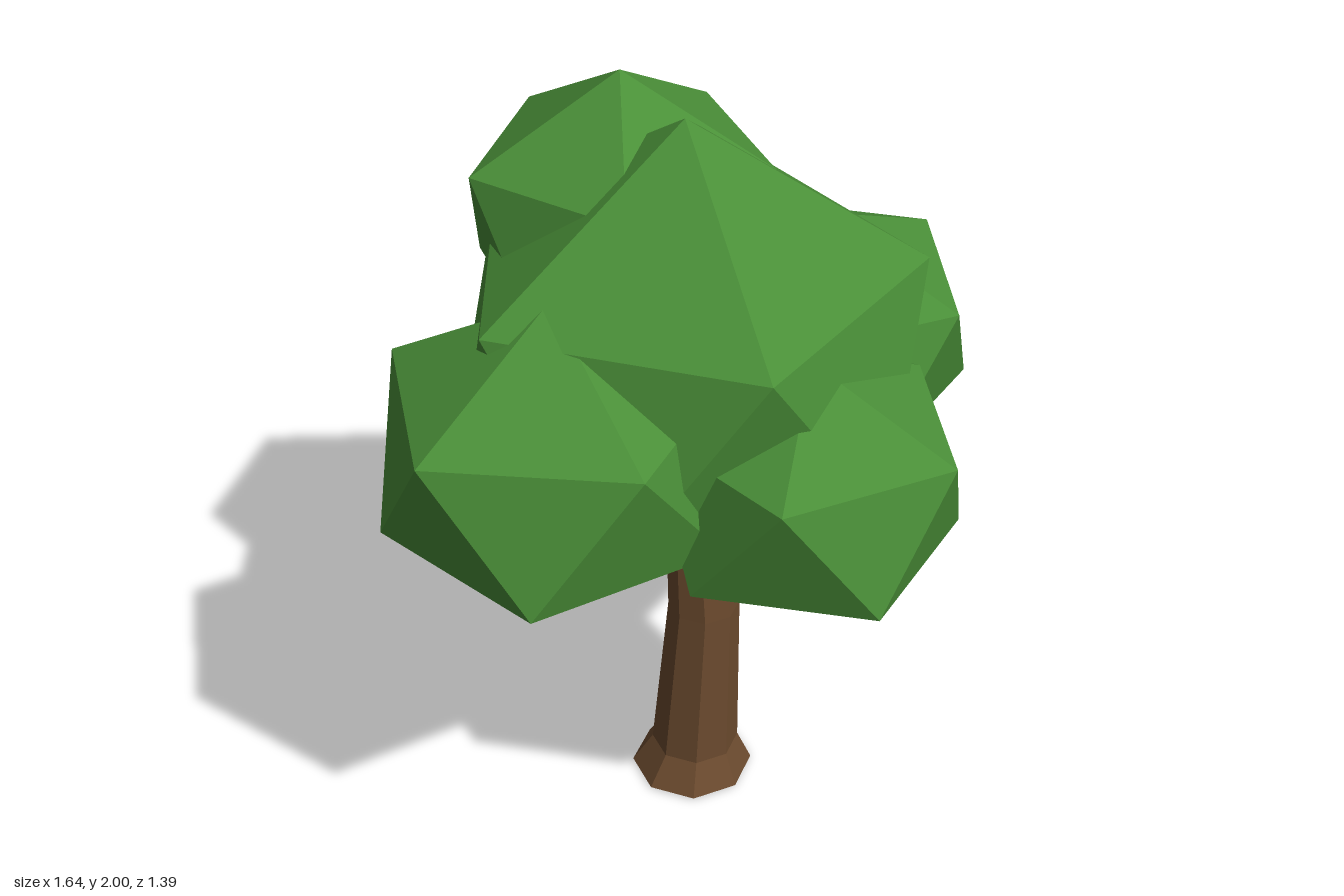
import * as THREE from 'three';
import { ConvexGeometry } from 'three/addons/geometries/ConvexGeometry.js';

const leaf = new THREE.MeshStandardMaterial({ color: 0x4a8f38, flatShading: true });
leaf.name = 'leafGreen';
const bark = new THREE.MeshStandardMaterial({ color: 0x6b4a2e, flatShading: true });
bark.name = 'barkBrown';

function part(name, geometry, material) {
  const mesh = new THREE.Mesh(geometry, material);
  mesh.name = name;
  return mesh;
}

// Squashed icosahedron: two poles and two staggered rings of five corners
function leafClump(x, z, radius, degrees, [bottom, lower, upper, top]) {
  const points = [new THREE.Vector3(x, bottom, z), new THREE.Vector3(x, top, z)];
  for (let i = 0; i < 10; i++) {
    const a = THREE.MathUtils.degToRad(degrees + i * 36);
    points.push(new THREE.Vector3(
      x + radius * Math.cos(a), i % 2 ? lower : upper, z + radius * Math.sin(a)));
  }
  return new ConvexGeometry(points);
}

// Eight-sided lathe whose rings are shifted sideways to bend it
function bentTrunk(sections) {
  const profile = sections.map(([r, y]) => new THREE.Vector2(r, y));
  const geometry = new THREE.LatheGeometry(profile, 8, Math.PI / 8);
  const pos = geometry.attributes.position;
  for (let i = 0; i < pos.count; i++) {
    const [, , dx, dz] = sections[i % sections.length];
    pos.setX(i, pos.getX(i) + dx);
    pos.setZ(i, pos.getZ(i) + dz);
  }
  geometry.computeVertexNormals();
  return geometry;
}

// Tapered limb between two points
function limb(name, from, to, r0, r1) {
  const a = new THREE.Vector3(...from), b = new THREE.Vector3(...to);
  const dir = b.clone().sub(a);
  const mesh = part(name, new THREE.CylinderGeometry(r1, r0, dir.length(), 5), bark);
  mesh.position.copy(a).add(b).multiplyScalar(0.5);
  mesh.quaternion.setFromUnitVectors(new THREE.Vector3(0, 1, 0), dir.normalize());
  return mesh;
}

export function createModel() {
  const tree = new THREE.Group();
  tree.name = 'tree';

  // Trunk with flared foot: radius, height, x shift, z shift
  tree.add(part('trunk', bentTrunk([
    [0, 0, 0, -0.065],
    [0.165, 0.005, 0, -0.065],
    [0.118, 0.09, 0.01, -0.065],
    [0.095, 0.56, 0.037, -0.065],
    [0.08, 0.95, 0.025, -0.085],
    [0, 0.96, 0.025, -0.085],
  ]), bark));

  // Branches
  tree.add(limb('leftBranch', [0.06, 0.7, -0.09], [0.4, 1.12, -0.17], 0.04, 0.028));
  tree.add(limb('rightBranch', [0.03, 0.77, -0.06], [-0.3, 1.14, 0], 0.038, 0.028));

  // Foliage: name, x, z, ring radius, turn, heights from bottom to top
  const clumps = [
    ['crownFoliage', 0, -0.09, 0.58, 23, [0.86, 1.09, 1.6, 1.97]],
    ['backFoliage', -0.06, -0.33, 0.38, 39, [1.24, 1.47, 1.79, 2.0]],
    ['leftFoliage', 0.42, -0.24, 0.415, -16, [0.88, 1.07, 1.39, 1.56]],
    ['rightFoliage', -0.4, 0.06, 0.43, 84, [0.88, 1.09, 1.435, 1.67]],
    ['frontFoliage', 0.13, 0.32, 0.375, 54, [0.88, 1.04, 1.35, 1.52]],
  ];
  for (const [name, ...spec] of clumps) tree.add(part(name, leafClump(...spec), leaf));

  return tree;
}
